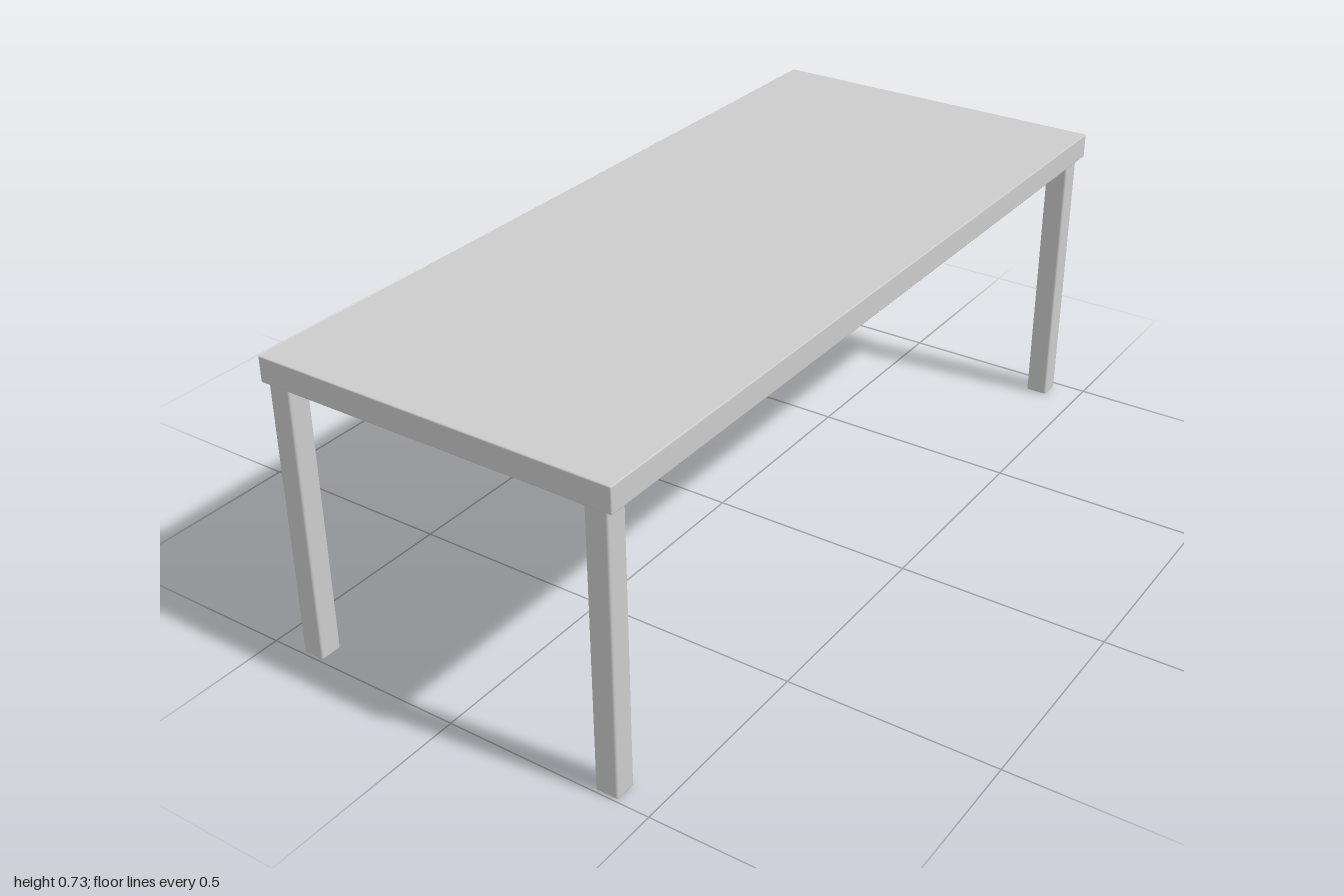
import * as THREE from 'three';
import { RoundedBoxGeometry } from 'three/addons/geometries/RoundedBoxGeometry.js';

const material = new THREE.MeshStandardMaterial({ color: 0xcccccc });

// Box with slightly softened edges, placed by its centre
function softBox(name, size, centre, radius) {
  const mesh = new THREE.Mesh(new RoundedBoxGeometry(...size, 2, radius), material);
  mesh.name = name;
  mesh.position.set(...centre);
  return mesh;
}

export function createModel() {
  const table = new THREE.Group();
  table.name = 'table';

  // Thick rectangular slab
  const topHeight = 0.725, underside = 0.665;
  table.add(softBox('tableTop', [0.87, topHeight - underside, 2],
    [0, (topHeight + underside) / 2, 0], 0.003));

  // Four square legs near the corners, the front pair set closer to the edge
  const legWidth = 0.054, legHeight = underside + 0.005;
  for (const [end, z] of [['front', 0.968], ['back', -0.954]]) {
    for (const [side, x] of [['Left', 0.395], ['Right', -0.392]]) {
      table.add(softBox(`${end}${side}Leg`, [legWidth, legHeight, legWidth],
        [x, legHeight / 2, z], 0.005));
    }
  }
  return table;
}
